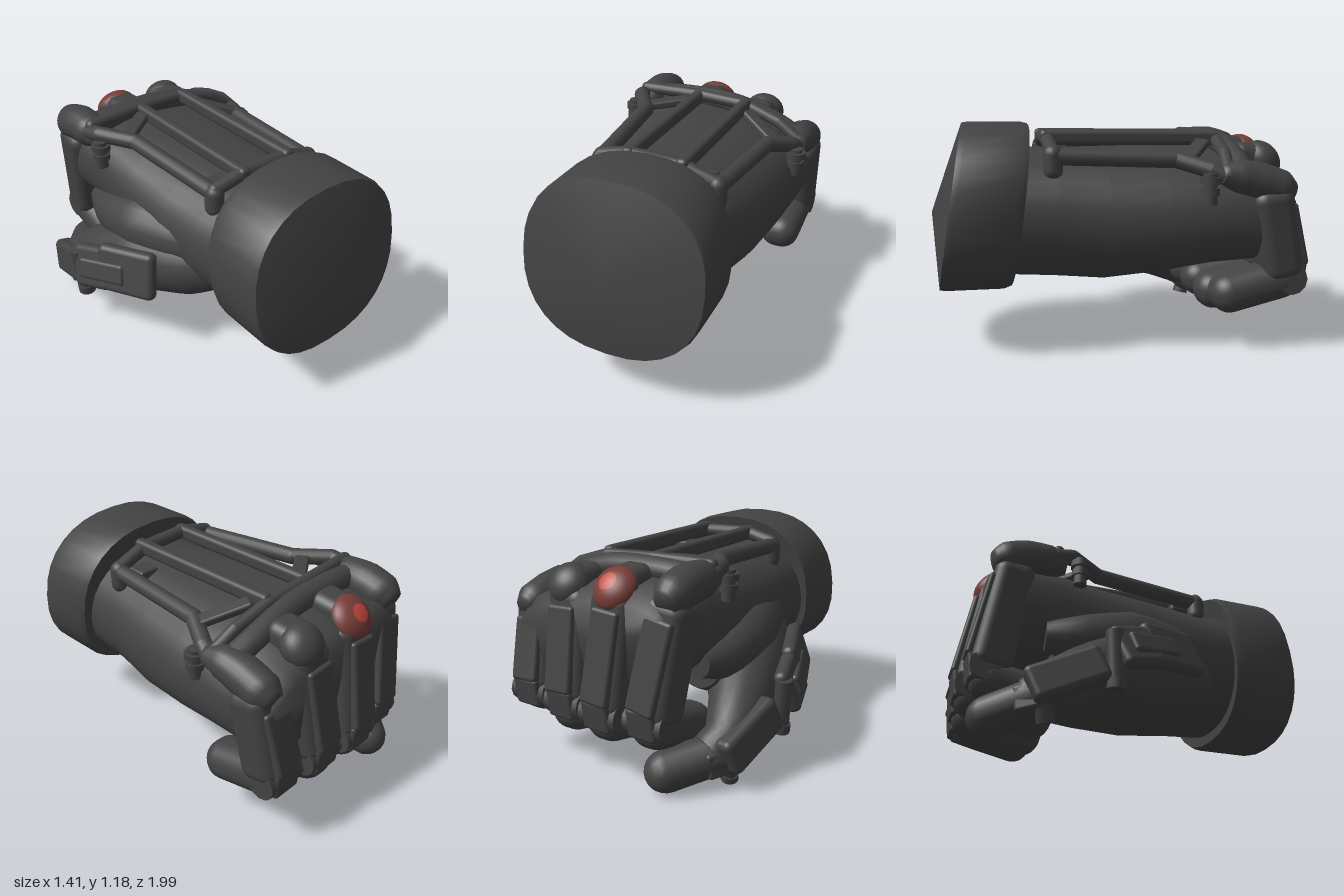
import * as THREE from 'three';
import { toCreasedNormals } from 'three/addons/utils/BufferGeometryUtils.js';
import { RoundedBoxGeometry } from 'three/addons/geometries/RoundedBoxGeometry.js';

const V = (x, y, z) => new THREE.Vector3(x, y, z);
const UP = V(0, 1, 0);

export function createModel() {
  const root = new THREE.Group();
  root.name = 'gauntlet';
  const makeMat = (name, color) => {
    const m = new THREE.MeshStandardMaterial({ color });
    m.name = name;
    return m;
  };
  const grey = makeMat('dark grey', 0x434343);
  const red = makeMat('lens red', 0x783c38);
  const bright = makeMat('lens centre red', 0xbf463d);

  const add = (name, geo, mat = grey) => {
    const m = new THREE.Mesh(geo, mat);
    m.name = name;
    root.add(m);
    return m;
  };

  // Skin a list of equal-length rings, closed by a fan at each end
  function loft(rings, capA, capB, crease = 0.7) {
    const n = rings[0].length, pos = [], idx = [];
    rings.forEach(r => r.forEach(p => pos.push(p.x, p.y, p.z)));
    const a = pos.length / 3;
    [capA, capB].forEach(p => pos.push(p.x, p.y, p.z));
    const last = (rings.length - 1) * n;
    for (let j = 0; j < n; j++) {
      const k = (j + 1) % n;
      for (let i = 0; i < rings.length - 1; i++) {
        const o = i * n;
        idx.push(o + j, o + k, o + n + j, o + k, o + n + k, o + n + j);
      }
      idx.push(a, k, j, a + 1, last + j, last + k);
    }
    const g = new THREE.BufferGeometry();
    g.setAttribute('position', new THREE.Float32BufferAttribute(pos, 3));
    g.setIndex(idx);
    return toCreasedNormals(g, crease);
  }

  // Rounded-square ring in the xy plane; slope leans it, roll lowers the +x side
  function ring(z, x0, x1, y0, y1, e = 0.85, slope = 0, roll = 0, n = 32) {
    const cx = (x0 + x1) / 2, cy = (y0 + y1) / 2, pts = [];
    const pw = v => Math.sign(v) * Math.abs(v) ** e;
    for (let i = 0; i < n; i++) {
      const t = i / n * Math.PI * 2;
      const dx = pw(Math.cos(t)) * (x1 - x0) / 2, dy = pw(Math.sin(t)) * (y1 - y0) / 2;
      pts.push(V(cx + dx, cy + dy - dx * roll, z + slope * dy));
    }
    return pts;
  }

  // Organic limb of varying radius; stops are [x, y, z, radius]
  function limb(name, stops, n = 20) {
    const curve = new THREE.CatmullRomCurve3(stops.map(s => V(s[0], s[1], s[2])));
    const rings = [], steps = (stops.length - 1) * 4;
    for (let i = 0; i <= steps; i++) {
      const f = i / 4, k = Math.min(Math.floor(f), stops.length - 2);
      const r = THREE.MathUtils.lerp(stops[k][3], stops[k + 1][3], f - k);
      const p = curve.getPoint(i / steps), t = curve.getTangent(i / steps);
      const u = UP.clone().cross(t).normalize(), v = t.clone().cross(u);
      rings.push(Array.from({ length: n }, (_, j) => {
        const q = j / n * Math.PI * 2;
        return p.clone().addScaledVector(u, Math.cos(q) * r).addScaledVector(v, Math.sin(q) * r);
      }));
    }
    return add(name, loft(rings, curve.getPoint(0), curve.getPoint(1), 1.2));
  }

  // Straight cylinder or capsule between two points
  function rod(name, a, b, r, round = false) {
    const d = b.clone().sub(a), len = d.length();
    const m = add(name, round ? new THREE.CapsuleGeometry(r, len, 6, 16) : new THREE.CylinderGeometry(r, r, len, 12));
    m.position.copy(a).add(b).multiplyScalar(0.5);
    m.quaternion.setFromUnitVectors(UP, d.normalize());
    return m;
  }
  const path = (name, pts, r) => {
    for (let i = 0; i < pts.length - 1; i++) rod(name, pts[i], pts[i + 1], r, true);
  };

  // Rounded block running from a to b, thickness along the outward normal
  function block(name, a, b, w, t, out, rad) {
    const y = b.clone().sub(a), len = y.length();
    y.normalize();
    const z = out.clone().addScaledVector(y, -out.dot(y)).normalize(), x = y.clone().cross(z);
    const m = add(name, new RoundedBoxGeometry(w, len, t, 4, rad));
    m.position.copy(a).add(b).multiplyScalar(0.5);
    m.quaternion.setFromRotationMatrix(new THREE.Matrix4().makeBasis(x, y, z));
    return m;
  }

  // Flattened dome facing up and forward over a knuckle
  const faceOut = V(0, 0.65, -0.76).normalize();
  function dome(name, p, r, flat, angle = Math.PI, mat = grey) {
    const m = add(name, new THREE.SphereGeometry(r, 28, 16, 0, Math.PI * 2, 0, angle), mat);
    m.position.copy(p);
    m.scale.y = flat;
    m.quaternion.setFromUnitVectors(UP, faceOut);
  }

  // Palm and back of the hand
  add('hand', loft([
    ring(-0.87, -0.34, 0.63, 0.54, 0.92, 0.7, 0, 0.12),
    ring(-0.82, -0.37, 0.66, 0.47, 0.98, 0.7, 0, 0.12),
    ring(-0.65, -0.38, 0.67, 0.455, 1.02, 0.75, 0, 0.12),
    ring(-0.45, -0.37, 0.67, 0.43, 1.04, 0.82, 0, 0.11),
    ring(-0.2, -0.36, 0.65, 0.37, 1.04, 0.88, 0, 0.08),
    ring(0.1, -0.35, 0.62, 0.33, 1.04, 0.9, 0, 0.04),
    ring(0.35, -0.32, 0.58, 0.34, 1.04, 0.92),
    ring(0.66, -0.29, 0.56, 0.36, 1.05, 0.92),
  ], V(0.14, 0.73, -0.88), V(0.14, 0.7, 0.66), 1.1));

  // Leaning wrist cuff with a shallow pointed end
  add('cuff', loft([
    ring(0.55, -0.27, 0.55, 0.36, 1.08, 0.85, -0.13),
    ring(0.54, -0.34, 0.62, 0.30, 1.17, 0.85, -0.13),
    ring(0.58, -0.355, 0.635, 0.285, 1.18, 0.85, -0.13),
    ring(0.87, -0.355, 0.635, 0.285, 1.18, 0.85, -0.155),
    ring(0.90, -0.345, 0.625, 0.29, 1.175, 0.85, -0.155),
  ], V(0.14, 0.72, 0.56), V(0.13, 0.7, 1), 0.9));

  // Thumb
  limb('thumbBase', [[-0.08, 0.6, 0.42, 0.15], [-0.18, 0.52, 0.2, 0.21], [-0.29, 0.45, -0.08, 0.23],
    [-0.41, 0.35, -0.34, 0.165], [-0.46, 0.23, -0.54, 0.125], [-0.42, 0.17, -0.64, 0.11]]);
  rod('thumbTip', V(-0.45, 0.17, -0.6), V(-0.28, 0.11, -0.81), 0.11, true);
  limb('thumbWeb', [[0.1, 0.52, 0.25, 0.16], [-0.05, 0.48, 0, 0.2], [-0.18, 0.5, -0.25, 0.17], [-0.26, 0.54, -0.48, 0.1]]);
  limb('thumbMuscle', [[-0.12, 0.7, 0.4, 0.14], [-0.2, 0.66, 0.15, 0.175], [-0.27, 0.63, -0.1, 0.19],
    [-0.31, 0.6, -0.35, 0.14], [-0.29, 0.6, -0.55, 0.08]]);

  // Thumb armour and its hinges
  const outer = V(-1, 0.15, -0.3);
  block('thumbBasePlate', V(-0.46, 0.53, 0.23), V(-0.6, 0.48, -0.1), 0.27, 0.08, outer, 0.035);
  block('thumbBasePlate', V(-0.58, 0.48, -0.04), V(-0.65, 0.41, -0.27), 0.25, 0.08, outer, 0.035);
  block('thumbBaseRidge', V(-0.56, 0.5, 0.08), V(-0.67, 0.44, -0.2), 0.12, 0.05, outer, 0.02);
  block('thumbMiddlePlate', V(-0.6, 0.34, -0.31), V(-0.54, 0.18, -0.67), 0.2, 0.11, V(-1, 0.15, -0.1), 0.035);
  rod('thumbHinge', V(-0.64, 0.5, -0.28), V(-0.615, 0.23, -0.26), 0.045);
  rod('thumbHingeCap', V(-0.62, 0.25, -0.26), V(-0.615, 0.2, -0.26), 0.05);
  rod('thumbTipHinge', V(-0.55, 0.27, -0.64), V(-0.5, 0.03, -0.57), 0.04);
  rod('thumbTipHingeCap', V(-0.507, 0.065, -0.58), V(-0.5, 0.03, -0.57), 0.046);
  block('thumbTipPlate', V(-0.54, 0.16, -0.6), V(-0.46, 0.14, -0.72), 0.14, 0.05, V(-1, 0, -0.6), 0.02);

  // Curled fingers: [knuckle x, tip x, knuckle y, z shift, underside y]
  const fingers = [[-0.29, -0.22, 0.98, 0.04, 0.25], [0, 0.03, 0.99, 0, 0.245],
    [0.31, 0.29, 0.96, 0.02, 0.235], [0.58, 0.56, 0.85, 0.05, 0.28]];
  const back = V(0, 0.15, -1);
  fingers.forEach(([kx, tx, ky, dz, ty]) => {
    block('fingerUpper', V(kx, ky, -0.77 + dz), V(tx, 0.36, -0.865 + dz), 0.25, 0.22, back, 0.07);
    block('fingerLower', V(tx, ty + 0.1, -0.95 + dz), V(tx, ty - 0.01, -0.43), 0.235, 0.21, V(0, -1, 0), 0.1);
    block('fingerPlate', V(kx, ky - 0.08, -0.88 + dz), V(tx, 0.44, -0.965 + dz), 0.17, 0.06, back, 0.02);
    rod('fingerHinge', V(tx - 0.115, 0.37, -0.89 + dz), V(tx + 0.115, 0.37, -0.89 + dz), 0.08);
    block('fingerHingeClip', V(tx, 0.46, -0.955 + dz), V(tx, 0.3, -0.935 + dz), 0.17, 0.06, back, 0.02);
  });

  // Knuckle guard: smooth end pads, necked domes and arched bar
  limb('indexPad', [[-0.34, 1.02, -0.46, 0.045], [-0.325, 1.035, -0.55, 0.095], [-0.32, 1.03, -0.68, 0.105],
    [-0.32, 1.0, -0.79, 0.1], [-0.32, 0.975, -0.85, 0.06]]);
  limb('littlePad', [[0.64, 0.92, -0.45, 0.045], [0.615, 0.91, -0.54, 0.085], [0.6, 0.88, -0.66, 0.1],
    [0.6, 0.84, -0.79, 0.095], [0.6, 0.82, -0.85, 0.055]]);
  for (const [x, y] of [[0, 1.02], [0.32, 0.99]])
    block('knuckleNeck', V(x, y + 0.01, -0.6), V(x, y - 0.01, -0.8), 0.19, 0.15, UP, 0.06);
  dome('ringKnuckleDome', V(0.33, 0.97, -0.78), 0.117, 0.8);
  const middle = V(0, 0.995, -0.81);
  dome('middleKnuckleDome', middle, 0.117, 0.65);
  dome('lens', middle, 0.12, 0.67, 1.45, red);
  dome('lensCentre', middle, 0.122, 0.69, 0.4, bright);
  const arch = new THREE.CatmullRomCurve3([V(-0.34, 1.04, -0.58), V(-0.1, 1.06, -0.59), V(0.2, 1.05, -0.59),
    V(0.45, 0.98, -0.59), V(0.63, 0.9, -0.57)]);
  add('knuckleBar', new THREE.TubeGeometry(arch, 32, 0.065, 12));

  // Frame on the back of the hand
  path('frameRearBar', [V(-0.35, 1.1, -0.51), V(-0.01, 1.1, -0.53), V(0.29, 1.085, -0.53), V(0.5, 1.02, -0.51), V(0.63, 0.94, -0.49)], 0.034);
  path('frameFrontBar', [V(-0.18, 1.06, 0.38), V(-0.01, 1.1, 0.39), V(0.29, 1.09, 0.39), V(0.47, 1.03, 0.38)], 0.038);
  for (const x of [-0.01, 0.29])
    block('frameInnerRail', V(x, 1.1, 0.43), V(x, 1.09, -0.54), 0.065, 0.08, UP, 0.025);
  path('frameOuterRail', [V(-0.18, 1.04, 0.38), V(-0.23, 1.07, -0.25), V(-0.35, 1.08, -0.43), V(-0.36, 1.06, -0.52)], 0.044);
  path('frameOuterRail', [V(0.47, 1.01, 0.38), V(0.52, 0.99, -0.25), V(0.61, 0.94, -0.41), V(0.64, 0.9, -0.5)], 0.044);
  block('frameStrut', V(-0.26, 1.07, -0.3), V(-0.04, 1.09, -0.45), 0.08, 0.045, UP, 0.015);
  block('frameStrut', V(0.54, 0.99, -0.3), V(0.32, 1.07, -0.45), 0.08, 0.045, V(0.3, 1, 0), 0.015);
  for (const [x, y] of [[-0.09, 1.02], [0.37, 1.0]])
    block('frameFoot', V(x, y, 0.24), V(x, y, 0.36), 0.12, 0.06, UP, 0.015);

  // Posts carrying the frame, at the wrist and beside the knuckles
  for (const [x, y, z] of [[-0.18, 1.06, 0.38], [0.47, 1.04, 0.38]])
    rod('wristPost', V(x, y - 0.02, z), V(x, y - 0.1, z), 0.05, true);
  for (const [x, y] of [[-0.37, 1.06], [0.65, 0.93]]) {
    rod('sidePost', V(x, y, -0.39), V(x, y - 0.16, -0.39), 0.036);
    rod('sidePostCollar', V(x, y - 0.02, -0.39), V(x, y - 0.055, -0.39), 0.054);
    rod('sidePostCollar', V(x, y - 0.075, -0.39), V(x, y - 0.11, -0.39), 0.048);
  }
  return root;
}
